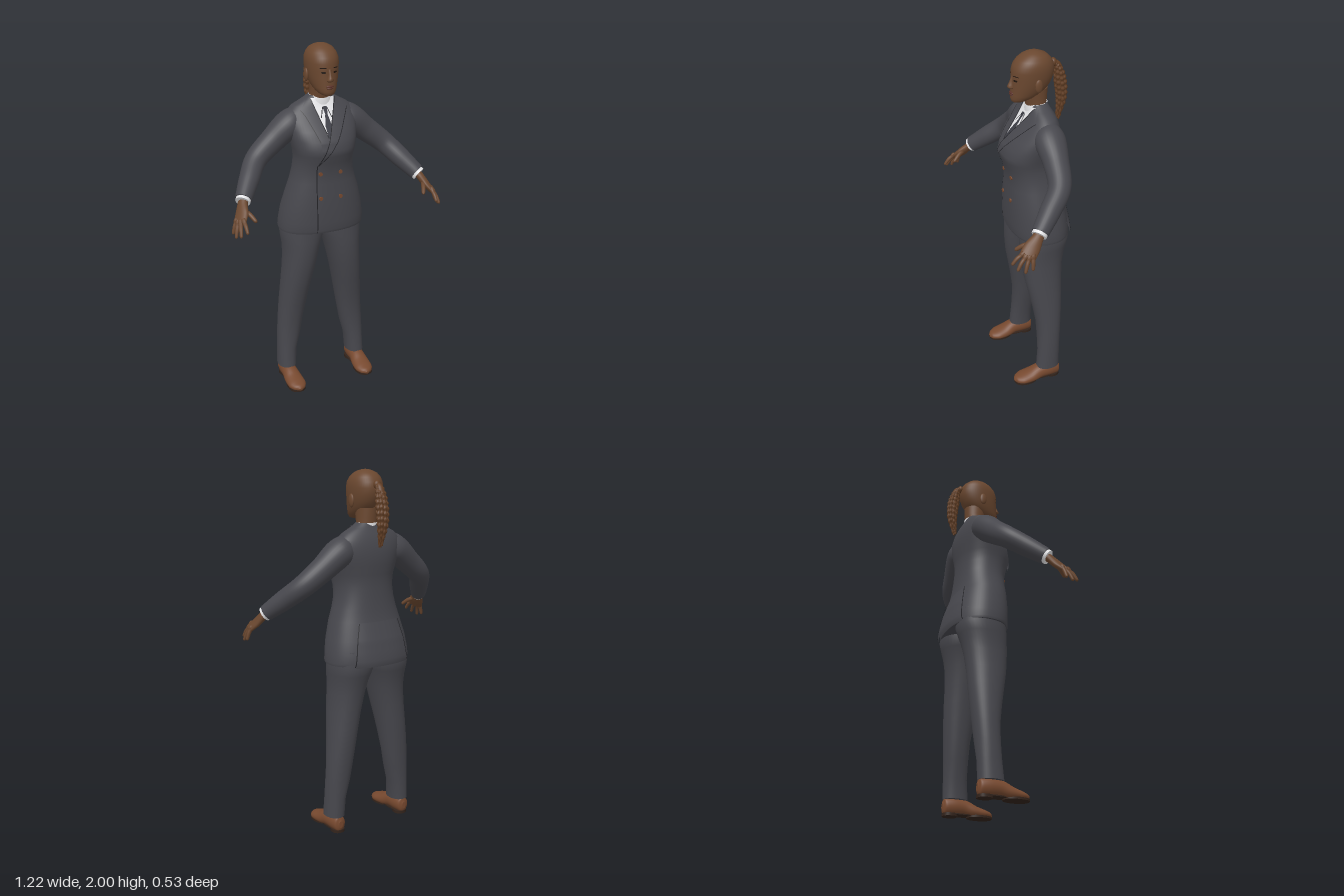
import * as THREE from 'three';

const mat = (name, color, side = THREE.FrontSide) => {
  const m = new THREE.MeshStandardMaterial({ color, side });
  m.name = name;
  return m;
};
const V = (x, y, z) => new THREE.Vector3(x, y, z);
const spow = (c, p) => Math.sign(c) * Math.pow(Math.abs(c), p);

// Skin over equal-length rings of points, closed at both ends with sharp rims
function skin(rings) {
  const all = [rings[0], ...rings, rings[rings.length - 1]];
  const n = rings[0].length, pos = [], idx = [];
  all.forEach(r => r.forEach(p => pos.push(p.x, p.y, p.z)));
  for (let j = 1; j < all.length - 2; j++) for (let i = 0; i < n; i++) {
    const a = j * n + i, b = j * n + (i + 1) % n;
    idx.push(a, a + n, b, b, a + n, b + n);
  }
  [0, all.length - 1].forEach((j, end) => {
    const c = all[j].reduce((s, p) => s.add(p), V(0, 0, 0)).divideScalar(n), k = pos.length / 3;
    pos.push(c.x, c.y, c.z);
    for (let i = 0; i < n; i++) {
      const a = j * n + i, b = j * n + (i + 1) % n;
      if (end) idx.push(k, b, a); else idx.push(k, a, b);
    }
  });
  const g = new THREE.BufferGeometry();
  g.setAttribute('position', new THREE.Float32BufferAttribute(pos, 3));
  g.setIndex(idx);
  g.computeVertexNormals();
  return g;
}

// Upright loft; sections are [y, halfWidth, zFront, zBack, xCentre]
const loft = (secs, n = 2, sides = 48) => skin(secs.map(([y, rx, f, b, xc = 0]) =>
  Array.from({ length: sides }, (_, i) => {
    const a = i / sides * Math.PI * 2;
    return V(xc + rx * spow(Math.cos(a), 2 / n), y, (f + b) / 2 + (f - b) / 2 * spow(Math.sin(a), 2 / n));
  })));

// Depth of a loft's front (side 1) or back (side -1) at x, y
function depth(secs, n, x, y, side) {
  let k = 0;
  while (k < secs.length - 2 && y > secs[k + 1][0]) k++;
  const t = THREE.MathUtils.clamp((y - secs[k][0]) / (secs[k + 1][0] - secs[k][0]), 0, 1);
  const [, rx, f, b] = secs[k].map((v, i) => v + (secs[k + 1][i] - v) * t);
  const q = Math.min(Math.abs(x) / rx, 0.985);
  return (f + b) / 2 + side * (f - b) / 2 * Math.pow(1 - Math.pow(q, n), 1 / n);
}

// Thin cloth patch lying on a loft; rows are [y, xLeft, xRight, lift], top down
function patch(secs, n, rows, lift, side = 1) {
  const pos = [], idx = [], cols = 12, steps = 8;
  const line = [];
  for (let k = 0; k < rows.length - 1; k++) for (let s = k ? 1 : 0; s <= steps; s++)
    line.push([0, 1, 2, 3].map(i => THREE.MathUtils.lerp(rows[k][i] ?? lift, rows[k + 1][i] ?? lift, s / steps)));
  line.forEach(([y, l, r, up], j) => {
    for (let i = 0; i <= cols; i++) {
      const x = l + (r - l) * i / cols;
      pos.push(x, y, depth(secs, n, x, y, side) + side * up);
      if (j && i) {
        const d = j * (cols + 1) + i, c = d - 1, b = d - cols - 1, a = b - 1;
        if (side > 0) idx.push(a, c, b, b, c, d); else idx.push(a, b, c, b, d, c);
      }
    }
  });
  const g = new THREE.BufferGeometry();
  g.setAttribute('position', new THREE.Float32BufferAttribute(pos, 3));
  g.setIndex(idx);
  g.computeVertexNormals();
  return g;
}

// Tapered tube through [x, y, z, radiusU, radiusV]; wobble(t) scales the radius
function limb(pts, { ref = V(0, 0, 1), steps = 24, sides = 20, wobble = () => 1 } = {}) {
  const path = new THREE.CatmullRomCurve3(pts.map(p => V(p[0], p[1], p[2])));
  const rad = new THREE.CatmullRomCurve3(pts.map(p => V(p[3], p[4] ?? p[3], 0)));
  return skin(Array.from({ length: steps + 1 }, (_, j) => {
    const t = j / steps, c = path.getPoint(t), r = rad.getPoint(t).multiplyScalar(wobble(t));
    const T = path.getTangent(t), v = T.clone().cross(ref).normalize(), u = T.clone().cross(v);
    return Array.from({ length: sides }, (_, i) => {
      const a = i / sides * Math.PI * 2;
      return c.clone().addScaledVector(u, r.x * Math.cos(a)).addScaledVector(v, r.y * Math.sin(a));
    });
  }));
}

function mirrored(geo) {
  const g = geo.clone().scale(-1, 1, 1), ix = g.index.array;
  for (let i = 0; i < ix.length; i += 3) [ix[i], ix[i + 1]] = [ix[i + 1], ix[i]];
  g.computeVertexNormals();
  return g;
}

const ball = (x, y, z, rx, ry, rz) => new THREE.SphereGeometry(1, 20, 14).scale(rx, ry, rz).translate(x, y, z);

export function createModel() {
  const root = new THREE.Group();
  const suit = mat('suit', 0x47474d, THREE.DoubleSide), seamM = mat('seam', 0x222226, THREE.DoubleSide);
  const skinM = mat('skin', 0x6a472f), hair = mat('hair', 0x633f25), shirt = mat('shirt', 0xe4e4e6, THREE.DoubleSide);
  const tieM = mat('tie', 0x3a3b43, THREE.DoubleSide), leather = mat('leather', 0x77492f);
  const sole = mat('sole', 0x33241c), lip = mat('lip', 0x5a3229), eyeM = mat('eye', 0x21160f, THREE.DoubleSide);
  const add = (name, geo, m) => {
    const o = new THREE.Mesh(geo, m);
    o.name = name;
    root.add(o);
  };
  const pair = (name, geo, m) => { add(name + 'Left', geo, m); add(name + 'Right', mirrored(geo), m); };

  // Jacket body
  const J = [[0.97, 0.247, 0.068, -0.25], [0.985, 0.25, 0.074, -0.255], [1.03, 0.246, 0.076, -0.25], [1.1, 0.235, 0.078, -0.237],
    [1.2, 0.208, 0.077, -0.21], [1.26, 0.187, 0.073, -0.2], [1.32, 0.171, 0.074, -0.194], [1.38, 0.165, 0.088, -0.19],
    [1.42, 0.17, 0.102, -0.19], [1.45, 0.176, 0.106, -0.192], [1.5, 0.188, 0.092, -0.198], [1.55, 0.198, 0.06, -0.2],
    [1.6, 0.203, 0.02, -0.195], [1.64, 0.19, -0.01, -0.183], [1.67, 0.16, -0.03, -0.17], [1.695, 0.112, -0.042, -0.155],
    [1.71, 0.085, -0.046, -0.148], [1.722, 0.068, -0.05, -0.143]];
  const cloth = (name, rows, m, lift, side) => add(name, patch(J, 2.3, rows, lift, side), m);
  const seam = (name, pts, lift = 0.007, side = 1) =>
    cloth(name, pts.map(([x, y]) => [y, x - 0.0025, x + 0.0025]), seamM, lift, side);
  add('jacketBody', loft(J, 2.3, 64), suit);

  // Shirt front, collar and tie
  cloth('shirtFront', [[1.71, -0.07, 0.07], [1.65, -0.055, 0.046], [1.6, -0.043, 0.022], [1.52, -0.022, -0.016]], shirt, 0.002);
  add('shirtCollar', loft([[1.65, 0.072, -0.03, -0.152], [1.7, 0.065, -0.03, -0.15], [1.722, 0.061, -0.036, -0.149]]), shirt);
  cloth('tieKnot', [[1.668, -0.014, 0.012], [1.63, -0.008, 0.006]], tieM, 0.007);
  cloth('tieBlade', [[1.63, -0.008, 0.006], [1.575, -0.024, 0.014], [1.52, -0.023, -0.015]], tieM, 0.0045);
  [-1, 1].forEach(s => seam('collarEdge', [[s * 0.012, 1.665], [s * 0.03 - 0.004, 1.615], [s * 0.042 - 0.004, 1.64]].slice(0, 2), 0.004));

  // Lapels; the left one crosses over the right
  cloth('lapelRight', [[1.71, -0.084, -0.07], [1.655, -0.135, -0.056], [1.63, -0.12, -0.05], [1.5, -0.07, -0.015], [1.42, -0.065, -0.06]], suit, 0.005);
  cloth('lapelLeft', [[1.71, 0.07, 0.084], [1.655, 0.047, 0.135], [1.63, 0.035, 0.12], [1.52, -0.016, 0.04], [1.44, -0.052, -0.025], [1.37, -0.085, -0.082]], suit, 0.008);
  seam('lapelInnerEdgeLeft', [[0.07, 1.71], [0.047, 1.655], [-0.016, 1.52], [-0.085, 1.37]], 0.0095);
  seam('lapelOuterEdgeLeft', [[0.135, 1.655], [0.118, 1.63], [0.04, 1.52], [-0.025, 1.44], [-0.083, 1.37]], 0.0085);
  seam('lapelInnerEdgeRight', [[-0.07, 1.71], [-0.056, 1.655], [-0.022, 1.52]], 0.0065);
  seam('lapelOuterEdgeRight', [[-0.135, 1.655], [-0.118, 1.63], [-0.07, 1.5]], 0.006);
  seam('frontEdge', [[-0.085, 1.37], [-0.086, 1.2], [-0.083, 0.975]], 0.002);

  // Buttons, back flap between two vents
  for (const x of [-0.065, 0.052]) for (const y of [1.32, 1.18])
    add('button', new THREE.CylinderGeometry(0.011, 0.011, 0.008, 16).rotateX(Math.PI / 2)
      .translate(x, y, depth(J, 2.3, x, y, 1) + 0.002), leather);
  cloth('backFlap', [[1.2, -0.125, 0.125, 0.001], [1.1, -0.15, 0.15, 0.008], [0.965, -0.17, 0.17, 0.014]], suit, 0, -1);
  for (const s of [-1, 1]) seam('vent', [[s * 0.127, 1.2], [s * 0.152, 1.1], [s * 0.172, 0.972]], 0.015, -1);

  // Sleeves, shirt cuffs and sleeve buttons
  pair('sleeve', limb([[0.11, 1.6, -0.1, 0.06, 0.075], [0.18, 1.57, -0.095, 0.083, 0.078], [0.28, 1.492, -0.088, 0.068], [0.385, 1.408, -0.062, 0.06],
    [0.455, 1.33, 0.018, 0.055], [0.517, 1.258, 0.098, 0.045]], { steps: 36, sides: 28 }), suit);
  pair('shirtCuff', limb([[0.5, 1.278, 0.076, 0.04], [0.525, 1.249, 0.108, 0.04]], { steps: 2 }), shirt);
  pair('sleeveButton', ball(0.508, 1.3, 0.035, 0.008, 0.008, 0.008), leather);

  // Hands
  const across = V(0.025, -0.01, -0.06).normalize();
  pair('palm', limb([[0.505, 1.272, 0.085, 0.026, 0.026], [0.528, 1.24, 0.115, 0.03, 0.022], [0.548, 1.2, 0.155, 0.043, 0.02],
    [0.569, 1.168, 0.186, 0.042, 0.015], [0.573, 1.16, 0.192, 0.026, 0.007]], { ref: across }), skinM);
  const fingers = [[[0.555, 1.18, 0.212], [0.555, 1.13, 0.265]], [[0.57, 1.168, 0.2], [0.585, 1.108, 0.246]],
    [[0.579, 1.163, 0.181], [0.601, 1.094, 0.21]], [[0.582, 1.168, 0.16], [0.604, 1.103, 0.17]], [[0.532, 1.218, 0.148], [0.492, 1.172, 0.225]]];
  fingers.forEach(([a, b], i) => {
    const at = t => a.map((v, k) => v + (b[k] - v) * t), r = i === 4 ? 0.013 : 0.011;
    const knuckle = at(0.5);
    knuckle[1] += 0.006;
    pair(i === 4 ? 'thumb' : 'finger', limb([[...at(-0.25), r], [...at(0.05), r], [...knuckle, r * 0.95], [...at(0.92), r * 0.75], [...at(1), r * 0.25]],
      { ref: across, sides: 10, steps: 14 }), skinM);
  });

  // Trousers
  pair('trouserLeg', loft([[0.09, 0.053, -0.02, -0.158, 0.224], [0.2, 0.056, -0.03, -0.16, 0.218], [0.3, 0.068, -0.032, -0.166, 0.203],
    [0.4, 0.073, -0.028, -0.173, 0.191], [0.5, 0.078, -0.012, -0.18, 0.178], [0.6, 0.082, 0.008, -0.185, 0.164], [0.7, 0.088, 0.028, -0.188, 0.149],
    [0.8, 0.096, 0.04, -0.196, 0.133], [0.87, 0.105, 0.043, -0.21, 0.125], [0.91, 0.115, 0.043, -0.222, 0.12], [0.96, 0.124, 0.042, -0.235, 0.114],
    [1.05, 0.12, 0.04, -0.225, 0.11]], 2.2, 40), suit);

  // Shoes: rounded uppers flattened underneath, soles and heels
  const upper = limb([[0.224, 0.05, -0.163, 0.02, 0.012], [0.224, 0.05, -0.152, 0.044, 0.034], [0.224, 0.055, -0.1, 0.05, 0.043], [0.224, 0.052, -0.04, 0.046, 0.045],
    [0.222, 0.034, 0.015, 0.038, 0.053], [0.22, 0.026, 0.07, 0.029, 0.053], [0.219, 0.022, 0.108, 0.02, 0.034], [0.219, 0.02, 0.123, 0.008, 0.01]],
    { ref: V(0, 1, 0), steps: 32, sides: 28 });
  const up = upper.attributes.position;
  for (let i = 0; i < up.count; i++) up.setY(i, Math.max(up.getY(i), 0.012));
  upper.computeVertexNormals();
  pair('shoeUpper', upper, leather);
  const soleRows = [[0.012, 1], [0.004, 1]].map(([y]) => y);
  const slab = (z0, z1, rx, y0, y1) => loft([[y0, rx, z1, z0, 0.221], [y1, rx, z1, z0, 0.221]], 2.3, 32);
  pair('shoeSole', slab(-0.02, 0.122, 0.051, soleRows[1], soleRows[0] + 0.003), sole);
  pair('shoeShank', slab(-0.16, 0.03, 0.036, 0.01, 0.016), sole);
  pair('shoeHeel', slab(-0.162, -0.08, 0.038, 0, 0.016), sole);

  // Neck and head
  add('neck', loft([[1.64, 0.064, -0.04, -0.145], [1.7, 0.057, -0.035, -0.143], [1.75, 0.056, -0.025, -0.148], [1.8, 0.058, -0.01, -0.15]]), skinM);
  const H = [[1.738, 0.022, 0.04, -0.005], [1.744, 0.037, 0.048, -0.035], [1.76, 0.053, 0.052, -0.075], [1.78, 0.064, 0.05, -0.115], [1.805, 0.073, 0.049, -0.145],
    [1.835, 0.081, 0.047, -0.165], [1.87, 0.086, 0.045, -0.178], [1.905, 0.088, 0.046, -0.183], [1.935, 0.086, 0.037, -0.177], [1.96, 0.076, 0.018, -0.163],
    [1.98, 0.06, -0.008, -0.142], [1.992, 0.039, -0.034, -0.115], [1.998, 0.02, -0.055, -0.094], [2, 0.004, -0.072, -0.078]];
  add('head', loft(H, 2.1), skinM);
  add('nose', loft([[1.812, 0.009, 0.052, 0.03], [1.816, 0.018, 0.063, 0.03], [1.824, 0.019, 0.071, 0.03], [1.835, 0.013, 0.066, 0.03],
    [1.855, 0.008, 0.056, 0.03], [1.88, 0.01, 0.047, 0.03]], 2, 20), skinM);
  add('upperLip', ball(0, 1.79, 0.047, 0.023, 0.0055, 0.01), lip);
  add('lowerLip', ball(0, 1.78, 0.047, 0.02, 0.0065, 0.01), lip);
  const face = rows => patch(H, 2.1, rows, 0.0015);
  pair('eye', face([[1.868, 0.026, 0.04], [1.863, 0.02, 0.046], [1.858, 0.026, 0.04]]), eyeM);
  pair('eyebrow', face([[1.889, 0.024, 0.046], [1.884, 0.016, 0.054]]), eyeM);
  pair('ear', ball(0.086, 1.838, -0.07, 0.011, 0.036, 0.021).rotateX(0), skinM);

  // Ponytail of twisted strands
  add('hairTie', ball(0, 1.922, -0.183, 0.022, 0.024, 0.018), hair);
  add('ponytailCore', limb([[0, 1.93, -0.175, 0.012], [0, 1.905, -0.205, 0.02], [0, 1.82, -0.222, 0.028], [0, 1.72, -0.232, 0.024], [0, 1.6, -0.215, 0.004]],
    { ref: V(1, 0, 0) }), hair);
  for (let i = 0; i < 8; i++) {
    const a = i / 8 * Math.PI * 2, c = Math.cos(a), s = Math.sin(a), drop = 0.03 * (i * 3 % 8) / 8;
    add('ponytailStrand', limb([[0, 1.93, -0.178, 0.007], [c * 0.016, 1.905 + s * 0.006, -0.205 + s * 0.012, 0.009], [c * 0.023, 1.82, -0.225 + s * 0.024, 0.011],
      [c * 0.021, 1.72, -0.233 + s * 0.02, 0.01], [c * 0.009, 1.6 + drop, -0.217 + s * 0.01, 0.004]],
      { ref: V(1, 0, 0), steps: 60, sides: 8, wobble: t => 1 + 0.28 * Math.sin(t * 85 + i) }), hair);
  }
  return root;
}
